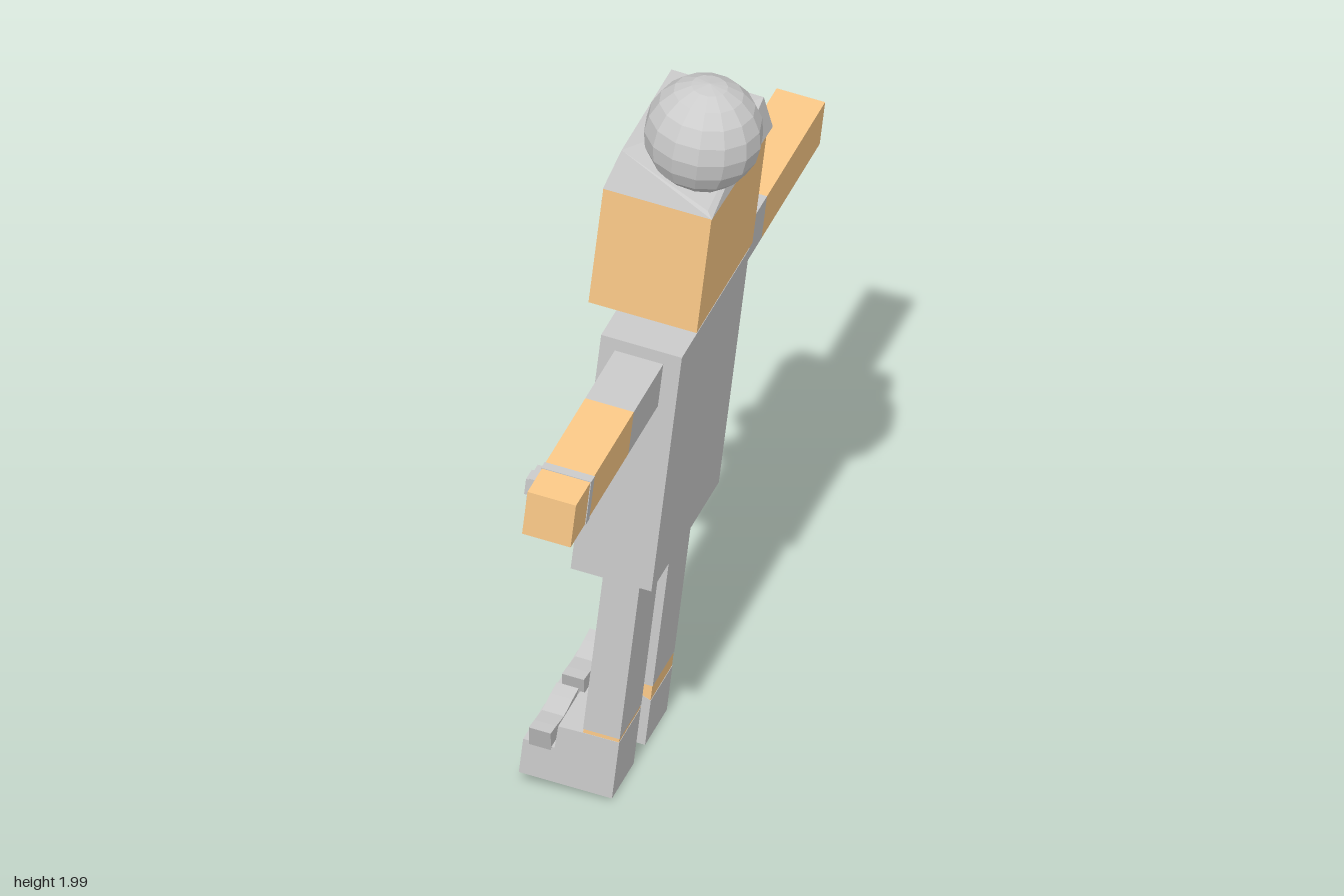
import * as THREE from 'three';
import { ConvexGeometry } from 'three/addons/geometries/ConvexGeometry.js';

const grey = new THREE.MeshStandardMaterial({ color: 0xcccccc, flatShading: true });
const skin = new THREE.MeshStandardMaterial({ color: 0xfcca88, flatShading: true });

const MID = 0.041; // symmetry plane of the body across z

function add(parent, name, geometry, material) {
  const mesh = new THREE.Mesh(geometry, material);
  mesh.name = name;
  parent.add(mesh);
  return mesh;
}

// Box given by its limits along each axis
function box(parent, name, material, [x0, x1], [y0, y1], [z0, z1]) {
  const mesh = add(parent, name, new THREE.BoxGeometry(x1 - x0, y1 - y0, z1 - z0), material);
  mesh.position.set((x0 + x1) / 2, (y0 + y1) / 2, (z0 + z1) / 2);
  return mesh;
}

function ball(parent, name, radius, x, y, z) {
  const mesh = add(parent, name, new THREE.SphereGeometry(radius, 14, 10), grey);
  mesh.position.set(x, y, z);
  return mesh;
}

function extrude(points, depth) {
  const shape = new THREE.Shape(points.map(([x, y]) => new THREE.Vector2(x, y)));
  return new THREE.ExtrudeGeometry(shape, { depth, bevelEnabled: false });
}

// Leg, ankle, shoe and flared shoe strap; heel and cuff set the strip of skin shown
function leg(parent, name, z, heel, cuff) {
  const g = new THREE.Group();
  g.name = name;
  g.position.z = z;
  parent.add(g);
  box(g, 'trouserLeg', grey, [-0.124, -0.032], [cuff, 0.66], [-0.08, 0.08]);
  box(g, 'ankle', skin, [-0.123, -0.033], [0.1, cuff], [-0.079, 0.079]);
  const shoe = add(g, 'shoe', extrude([
    [-0.266, 0.003], [-0.032, 0.003], [-0.032, heel], [-0.124, 0.165],
    [-0.185, 0.163], [-0.187, 0.1], [-0.266, 0.1],
  ], 0.16), grey);
  shoe.position.z = -0.08;
  const strap = add(g, 'shoeStrap', extrude([
    [-0.08, 0.09], [0.08, 0.09], [0.103, 0.153], [0.06, 0.148],
    [0, 0.138], [-0.06, 0.148], [-0.103, 0.153],
  ], 0.055), grey);
  strap.rotation.y = -Math.PI / 2;
  strap.position.x = -0.195;
}

// Sleeve and bare forearm from the shoulder to the hand
function arm(parent, name, shoulder, cuff, hand) {
  const g = new THREE.Group();
  g.name = name;
  parent.add(g);
  const span = (a, b) => [Math.min(a, b), Math.max(a, b)];
  box(g, 'sleeve', grey, [-0.155, -0.033], [1.178, 1.3], span(shoulder, cuff));
  box(g, 'forearm', skin, [-0.155, -0.033], [1.178, 1.3], span(cuff, hand));
  return g;
}

export function createModel() {
  const model = new THREE.Group();
  model.name = 'figure';

  // Body, neck and head, facing -x
  box(model, 'torso', grey, [-0.193, 0.01], [0.651, 1.333], [-0.208, 0.289]);
  box(model, 'neck', skin, [-0.122, -0.048], [1.32, 1.39], [MID - 0.063, MID + 0.063]);
  box(model, 'head', skin, [-0.245, 0.027], [1.384, 1.715], [MID - 0.205, MID + 0.206]);
  for (const s of [-1, 1]) ball(model, s < 0 ? 'leftEye' : 'rightEye', 0.037, -0.242, 1.592, MID + s * 0.075);

  // Hat with one corner pulled down under the pompom
  const hat = [
    [-0.246, 1.715, 0.247], [0.028, 1.715, 0.247], [-0.25, 1.717, -0.182], [0.036, 1.717, -0.178],
    [-0.222, 1.813, 0.212], [0.012, 1.728, 0.235], [-0.222, 1.813, -0.155], [0.012, 1.813, -0.15],
  ].map((p) => new THREE.Vector3(...p));
  add(model, 'hat', new ConvexGeometry(hat), grey);
  ball(model, 'pompom', 0.143, -0.054, 1.858, 0.115);

  // Arms, one wearing a watch
  arm(model, 'leftArm', -0.2, -0.475, -0.903);
  const watchArm = arm(model, 'rightArm', 0.28, 0.506, 0.932);
  box(watchArm, 'watchBand', grey, [-0.157, -0.031], [1.176, 1.302], [0.8, 0.826]);
  box(watchArm, 'watchCase', grey, [-0.178, -0.15], [1.209, 1.275], [0.781, 0.845]);
  box(watchArm, 'watchFace', grey, [-0.188, -0.17], [1.22, 1.264], [0.792, 0.834]);

  // Legs
  leg(model, 'leftLeg', MID - 0.122, 0.132, 0.174);
  leg(model, 'rightLeg', MID + 0.122, 0.166, 0.176);

  // Whole figure leans back and turns slightly
  const up = new THREE.Vector3(0.108, 0.994, -0.0054).normalize();
  const side = new THREE.Vector3(-0.075, 0.0136, 0.997).normalize();
  const back = new THREE.Vector3().crossVectors(up, side).normalize();
  side.crossVectors(back, up);
  model.setRotationFromMatrix(new THREE.Matrix4().makeBasis(back, up, side));

  const root = new THREE.Group();
  root.name = 'leaningFigure';
  root.add(model);
  return root;
}
